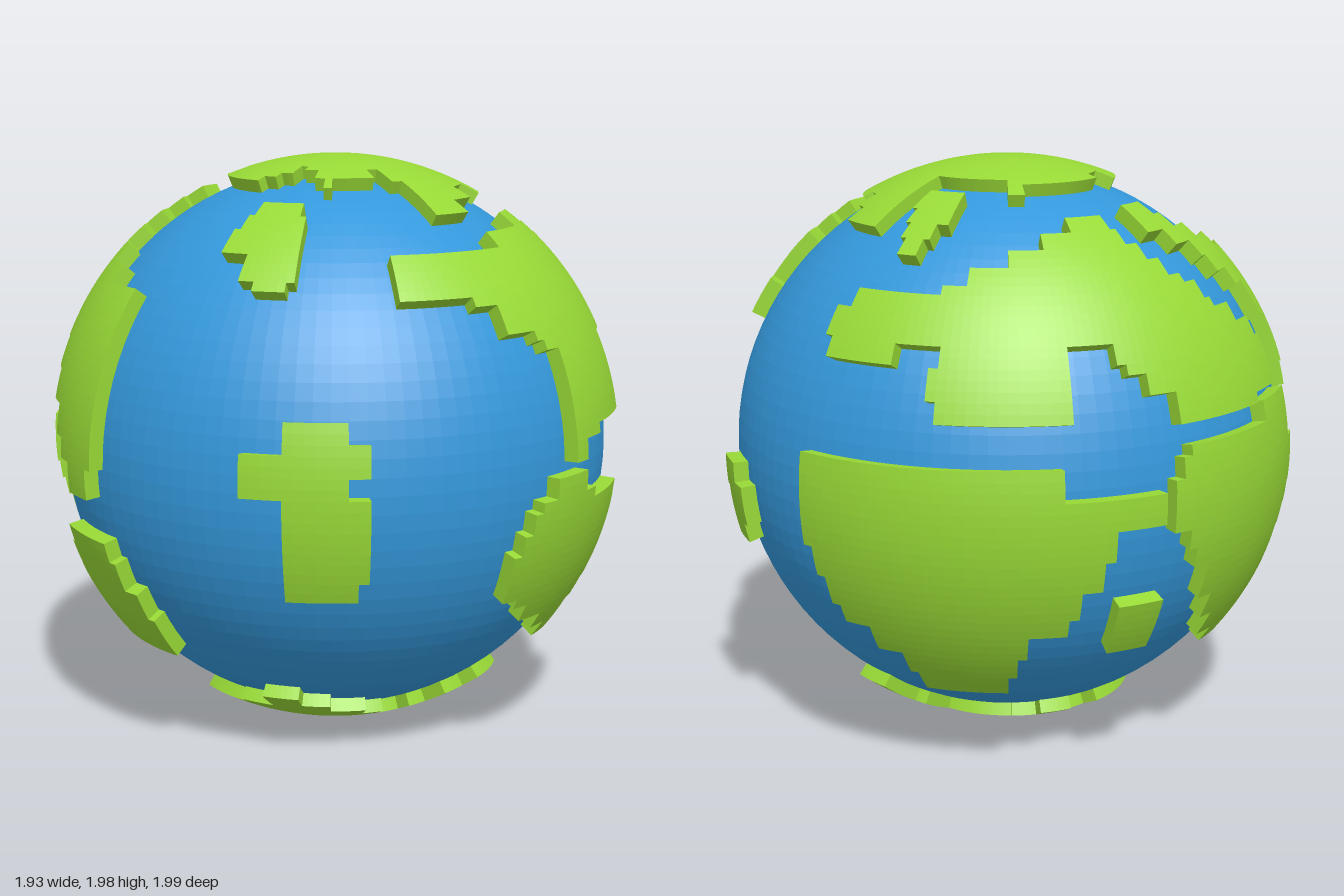
import * as THREE from 'three';

const STEP = 2, COLS = 360 / STEP, ROWS = 180 / STEP;
const OCEAN_R = 0.943;

// Longitude 0 faces the front (+z), 90 faces +x
function onSphere(i, j, r) {
  const lat = THREE.MathUtils.degToRad(i * STEP - 90), lon = THREE.MathUtils.degToRad(j * STEP);
  return [r * Math.cos(lat) * Math.sin(lon), r * Math.sin(lat), r * Math.cos(lat) * Math.cos(lon)];
}

// Mark the grid cells inside a latitude / longitude rectangle
function fill(cells, top, bottom, left, right) {
  for (let i = Math.round((bottom + 90) / STEP); i < Math.round((top + 90) / STEP); i++)
    for (let j = Math.round(left / STEP); j < Math.round(right / STEP); j++)
      cells.add(i * COLS + ((j % COLS) + COLS) % COLS);
}

// Continent rows: [top latitude, left, right, (left, right)]; the last entry closes the bottom
function fromRows(rows) {
  const cells = new Set();
  for (let k = 0; k < rows.length - 1; k++)
    for (let n = 1; n < rows[k].length; n += 2)
      fill(cells, rows[k][0], rows[k + 1][0], rows[k][n], rows[k][n + 1]);
  return cells;
}

// Polar cap sectors: [start longitude, edge latitude], each running to the next start
function fromSectors(sectors, pole) {
  const cells = new Set();
  sectors.forEach(([start, lat], k) => {
    const end = k + 1 < sectors.length ? sectors[k + 1][0] : sectors[0][0] + 360;
    fill(cells, Math.max(pole, lat), Math.min(pole, lat), start, end);
  });
  return cells;
}

// Raised slab over the cells, with walls only along the coast
function landGeometry(cells, r) {
  const pos = [], inner = OCEAN_R - 0.01;
  const quad = (a, b, c, d) => pos.push(...a, ...b, ...c, ...a, ...c, ...d);
  const has = (i, j) => i < 0 || i >= ROWS || cells.has(i * COLS + (j + COLS) % COLS);
  for (const key of cells) {
    const i = Math.floor(key / COLS), j = key % COLS;
    const corners = rad => [onSphere(i, j, rad), onSphere(i, j + 1, rad),
      onSphere(i + 1, j + 1, rad), onSphere(i + 1, j, rad)];
    const [a, b, c, d] = corners(r), [a0, b0, c0, d0] = corners(inner);
    quad(a, b, c, d);
    if (!has(i + 1, j)) quad(d, c, c0, d0);
    if (!has(i - 1, j)) quad(a0, b0, b, a);
    if (!has(i, j + 1)) quad(b, b0, c0, c);
    if (!has(i, j - 1)) quad(a0, a, d, d0);
  }
  const geo = new THREE.BufferGeometry();
  geo.setAttribute('position', new THREE.Float32BufferAttribute(pos, 3));
  geo.computeVertexNormals();
  return geo;
}

const CONTINENTS = {
  frontIsland: [[14, -16, -4], [10, -16, 0], [7, -24, 0], [3.4, -24, -4], [0, -16, 0], [-17, -16, -2], [-21]],
  northRightContinent: [[54, 63, 75], [50, 43, 80], [46, 7, 90], [39, 7, 87], [36, 25, 87], [33.5, 31, 91],
    [28, 40, 91], [26, 42, 82], [24, 45, 72], [8, 45, 56], [5, 45, 50], [2]],
  southRightContinent: [[0, 40, 50], [-4, 35, 53], [-7, 34, 69], [-10, 31, 74], [-14, 29, 74], [-20, 29, 72],
    [-24, 34, 67], [-27, 38, 63], [-31, 45, 60], [-34, 52, 59], [-38]],
  rightIsland: [[0, 107, 116], [-4, 107, 120], [-6, 110, 120], [-13, 110, 118], [-17]],
  northFrontIsland: [[60, -35, -19], [56, -37, -17], [51, -39, -16], [45, -30, -17], [40, -26, -18], [37]],
  northBackIsland: [[66, 146, 163], [60, 148, 163], [56, 150, 160], [52, 151, 157], [48]],
  northBackContinent: [[58, 203, 217], [54, 193, 220], [50, 183, 223], [46, 174, 228], [42, 168, 231],
    [40, 146, 235], [36, 142, 238], [33, 142, 244], [29, 143, 160, 170, 196, 205, 250],
    [25, 168, 196, 208, 252], [23, 168, 196, 211, 251], [19, 170, 196, 217, 251], [16, 217, 241], [13]],
  northLeftContinent: [[60, -129, -116], [56, -128, -112], [52, -121, -104], [48, -112, -95], [44, -110, -84],
    [40, -105, -74], [36, -98, -60], [28, -92, -60], [22, -88, -60], [16, -84, -60], [10, -79, -60],
    [4, -74, -61], [0, -70, -62], [-6]],
  southLeftIsland: [[-14, -76, -58], [-18, -78, -56], [-24, -80, -52], [-30, -82, -50], [-36, -80, -51], [-41]],
  backLeftContinent: [[14, -116, -102], [10, -140, -102], [7, -142, -102], [3, -144, -99], [-6, -141, -101],
    [-10, -138, -102], [-15, -134, -104], [-22, -130, -104], [-28, -126, -103], [-34, -120, -101], [-38]],
  backContinent: [[7, 142, 193], [1, 142, 214], [-5, 142, 204], [-10, 143, 201], [-16, 146, 198],
    [-22, 148, 195], [-27, 153, 188], [-32, 159, 186], [-38, 161, 183], [-45]],
  backIsland: [[-20, 206, 215], [-33]],
};

const NORTH_CAP = [[-28, 74], [-18, 70], [-12, 66], [-8, 70], [16, 73], [24, 67], [30, 56], [46, 59], [60, 63],
  [75, 60], [88, 64], [92, 60], [103, 62], [112, 57], [118, 53], [136, 71], [184, 66], [192, 70], [205, 69],
  [228, 70], [245, 71], [262, 67], [310, 69], [318, 72], [326, 75]];
const SOUTH_CAP = [[-70, -60], [-45, -58], [-30, -52], [-18, -57], [-8, -61], [5, -64], [15, -68], [30, -64],
  [40, -59], [52, -54], [72, -60], [80, -65], [95, -69], [110, -65], [118, -59], [125, -53], [139, -62],
  [145, -70], [185, -67], [198, -63], [212, -68], [230, -64]];

export function createModel() {
  const group = new THREE.Group();
  const globe = new THREE.Group();
  globe.name = 'globe';
  globe.position.set(0.015, 0.988, 0);
  group.add(globe);

  const water = new THREE.MeshStandardMaterial({ color: 0x3498db, flatShading: true });
  const grass = new THREE.MeshStandardMaterial({ color: 0x98d936, flatShading: true });
  const add = (name, geo, mat) => {
    const mesh = new THREE.Mesh(geo, mat);
    mesh.name = name;
    globe.add(mesh);
  };

  add('ocean', new THREE.SphereGeometry(OCEAN_R, 100, 50), water);
  for (const [name, rows] of Object.entries(CONTINENTS)) add(name, landGeometry(fromRows(rows), 0.994), grass);
  add('northPolarCap', landGeometry(fromSectors(NORTH_CAP, 90), 0.988), grass);
  add('southPolarCap', landGeometry(fromSectors(SOUTH_CAP, -90), 0.988), grass);
  return group;
}
